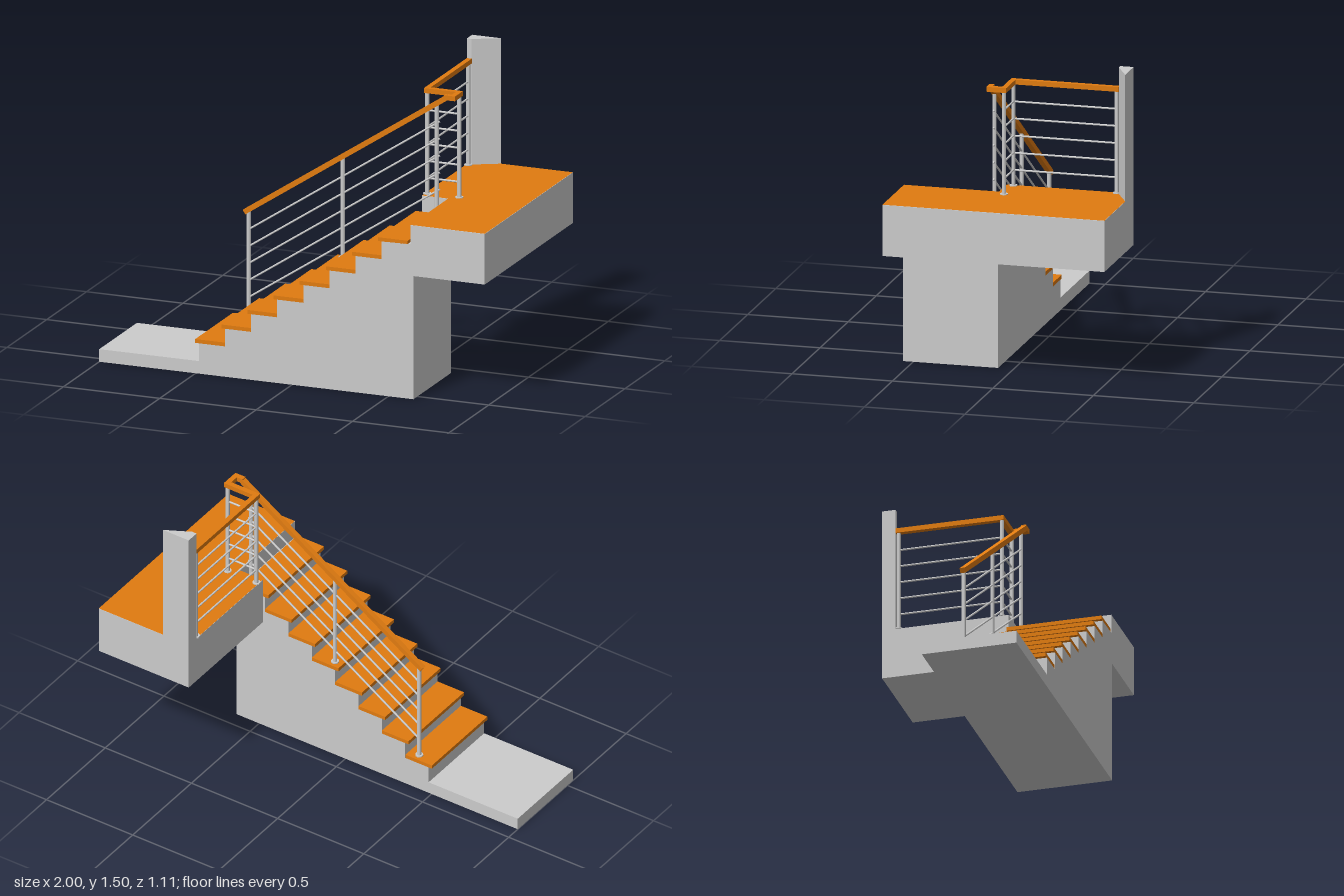
import * as THREE from 'three';

const grey = new THREE.MeshStandardMaterial({ color: 0xcccccc, flatShading: true });
const wood = new THREE.MeshStandardMaterial({ color: 0xe07b10, flatShading: true });

const BACK = 0.077, FRONT = 0.55;      // stair width in z
const RUN = 0.1355, RISE = 0.0885, STEPS = 8;
const LANDING = 0.87, RAIL_Y = 1.39, RAIL_Z = 0.112;
const railHeight = x => 0.71 + 0.66 * (x + 0.405);

export function createModel() {
  const model = new THREE.Group();

  const add = (name, geometry, material, parent = model) => {
    const mesh = new THREE.Mesh(geometry, material);
    mesh.name = name;
    parent.add(mesh);
    return mesh;
  };
  // box given by its extents
  const box = (name, x0, x1, y0, y1, z0, z1, material, parent) =>
    add(name, new THREE.BoxGeometry(x1 - x0, y1 - y0, z1 - z0), material, parent)
      .position.set((x0 + x1) / 2, (y0 + y1) / 2, (z0 + z1) / 2);
  // plan outline given as [x, z]
  const plan = points => new THREE.Shape(points.map(([x, z]) => new THREE.Vector2(x, -z)));
  const prism = (name, points, y0, y1) => {
    const g = new THREE.ExtrudeGeometry(plan(points), { depth: y1 - y0, bevelEnabled: false });
    add(name, g.rotateX(-Math.PI / 2).translate(0, y0, 0), grey);
  };
  // straight member between two points, round or rectangular
  const member = (name, a, b, geometry, material, parent) => {
    const p = new THREE.Vector3(...a), q = new THREE.Vector3(...b);
    const mesh = add(name, geometry(p.distanceTo(q)), material, parent);
    mesh.position.copy(p).add(q).multiplyScalar(0.5);
    mesh.quaternion.setFromUnitVectors(new THREE.Vector3(0, 1, 0), q.sub(p).normalize());
  };
  const round = r => length => new THREE.CylinderGeometry(r, r, length, 10);

  // Solid stair block with the lower floor slab
  const profile = [[-1, 0], [0.63, 0], [0.63, 0.775]];
  for (let i = STEPS - 1; i >= 0; i--) {
    const x = -0.483 + RUN * i, y = 0.152 + RISE * i;
    if (i < STEPS - 1) profile.push([x + RUN, y]);
    profile.push([x, y]);
  }
  profile.push([-0.483, 0.063], [-1, 0.063]);
  const stairShape = new THREE.Shape(profile.map(p => new THREE.Vector2(...p)));
  add('stairBlock', new THREE.ExtrudeGeometry(stairShape, { depth: FRONT - BACK, bevelEnabled: false })
    .translate(0, 0, BACK), grey);

  // Wooden treads with a nosing
  const treads = new THREE.Group();
  treads.name = 'treads';
  model.add(treads);
  for (let i = 0; i < STEPS; i++) {
    const x = -0.502 + RUN * i, y = 0.152 + RISE * i;
    box('tread', x, x + 0.154, y, y + 0.019, BACK, FRONT, wood, treads);
  }

  // Landing with a wooden floor
  const floor = [[0.478, -0.555], [1, -0.555], [1, FRONT], [0.615, FRONT], [0.615, BACK], [0.478, BACK]];
  prism('landing', floor, 0.617, LANDING);
  add('landingFloor', new THREE.ShapeGeometry(plan(floor)).rotateX(-Math.PI / 2)
    .translate(0, LANDING + 0.0015, 0), wood);

  // Corner wall column
  prism('wallColumn', [[0.478, -0.555], [0.628, -0.555], [0.503, -0.488], [0.478, -0.488]], LANDING, 1.5);

  // Posts with foot plates
  const railing = new THREE.Group();
  railing.name = 'railing';
  model.add(railing);
  const post = (x, z, y0, y1) => {
    member('post', [x, y0, z], [x, y1, z], round(0.0105), grey, railing);
    member('postFoot', [x, y0, z], [x, y0 + 0.006, z], round(0.02), grey, railing);
  };
  [[-0.405, 0], [0.083, 4], [0.57, 7]].forEach(([x, step]) =>
    post(x, RAIL_Z, 0.171 + RISE * step, railHeight(x)));
  const corners = [[0.491, -0.475], [0.491, 0.04], [0.657, 0.04]];
  corners.forEach(([x, z]) => post(x, z, LANDING, RAIL_Y));

  // Horizontal and sloping infill bars
  for (let i = 0; i < 5; i++) {
    const drop = 0.1 + 0.085 * i;
    member('stairBar', [-0.405, railHeight(-0.405) - drop, RAIL_Z],
      [0.585, railHeight(0.585) - drop, RAIL_Z], round(0.005), grey, railing);
    for (let c = 0; c < 2; c++) {
      const [a, b] = [corners[c], corners[c + 1]];
      member('landingBar', [a[0], RAIL_Y - drop, a[1]], [b[0], RAIL_Y - drop, b[1]],
        round(0.005), grey, railing);
    }
  }

  // Handrail: sloping run, then a flat return around the landing
  member('stairHandrail', [-0.425, railHeight(-0.425), RAIL_Z], [0.628, railHeight(0.628), RAIL_Z],
    length => new THREE.BoxGeometry(0.025, length, 0.026), wood, railing);
  const flat = (x0, x1, z0, z1) =>
    box('landingHandrail', x0, x1, RAIL_Y - 0.012, RAIL_Y + 0.012, z0, z1, wood, railing);
  flat(0.478, 0.504, -0.488, 0.052);
  flat(0.504, 0.67, 0.026, 0.052);
  flat(0.644, 0.67, 0.052, 0.125);
  flat(0.612, 0.644, 0.099, 0.125);

  return model;
}
